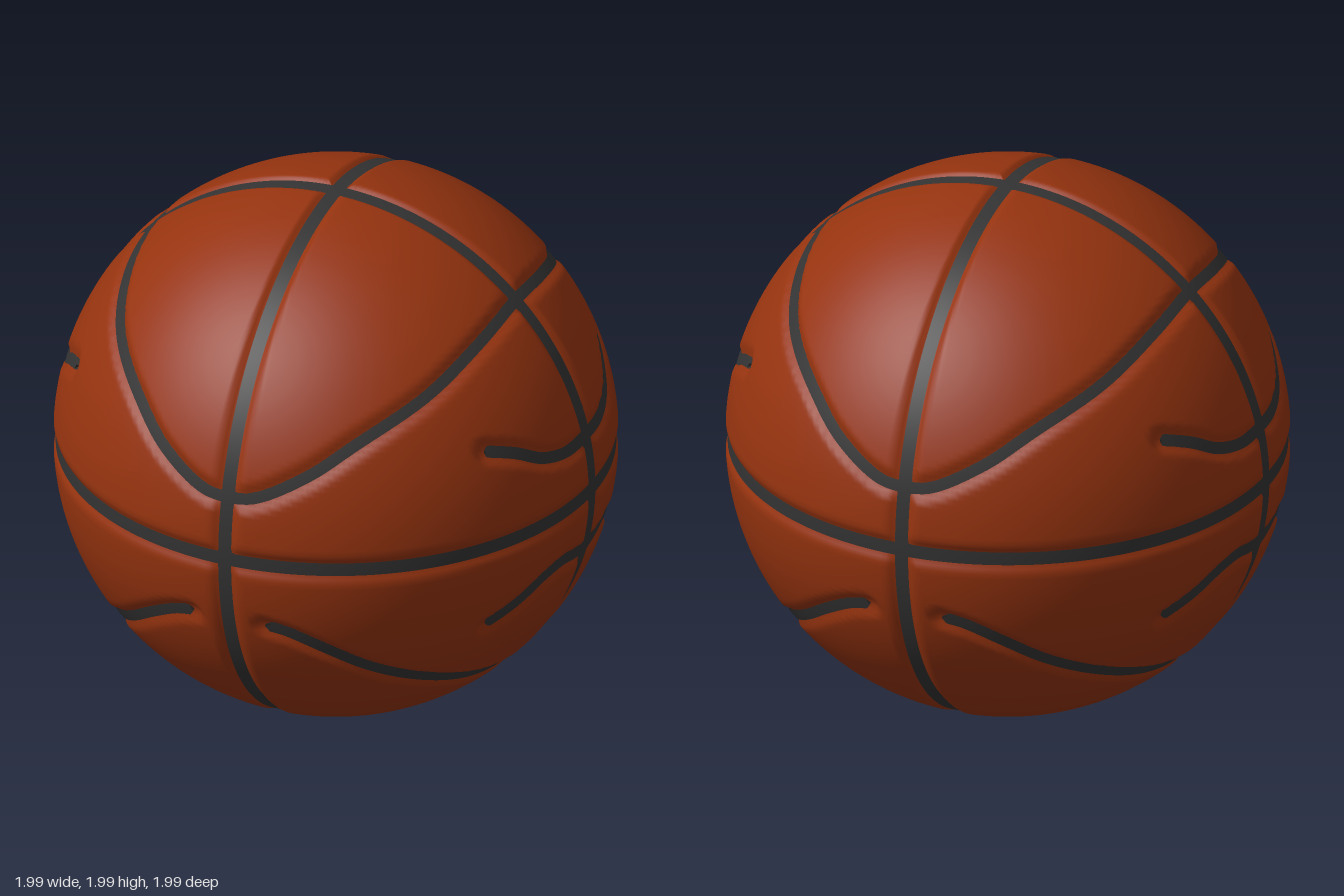
import * as THREE from 'three';

const GROOVE = 0.02;      // depth of the channels pressed into the ball
const SEAM_R = 0.992;     // radius of the rubber lying in the channels

// Third coordinate of a point on the unit sphere
const rest = (a, b) => Math.sqrt(Math.max(0, 1 - a * a - b * b));

// Curved panel seams, given as [x, y] on the front left quarter
const panel = (pts) => pts.map(([x, y]) => new THREE.Vector3(x, y, rest(x, y)));
// Short side seams, given as [z, y] on the front left quarter
const side = (pts) => pts.map(([z, y]) => new THREE.Vector3(rest(z, y), y, z));

const UPPER = panel([[0, 0.235], [0.1, 0.25], [0.28, 0.345], [0.42, 0.45], [0.6, 0.575], [0.685, 0.67], [0.705, 0.7092]]);
const LOWER = panel([[0.14, -0.265], [0.22, -0.287], [0.34, -0.36], [0.45, -0.45], [0.6, -0.575], [0.685, -0.67], [0.705, -0.7092]]);
const SIDE_UP = side([[0.49, 0.357], [0.38, 0.31], [0.27, 0.247], [0.15, 0.217], [0, 0.215]]);
const SIDE_LOW = side([[0.49, -0.35], [0.38, -0.295], [0.27, -0.235], [0.17, -0.217], [0.08, -0.232], [0, -0.245]]);

// Continue a quarter seam to the back and sample it evenly on the sphere
function sampleSeam(quarter) {
  const back = quarter.slice(0, -1).reverse().map((p) => new THREE.Vector3(p.x, p.y, -p.z));
  const mid = quarter[quarter.length - 1].clone().setZ(0);
  const curve = new THREE.CatmullRomCurve3([...quarter.slice(0, -1), mid, ...back], false, 'centripetal');
  return curve.getSpacedPoints(120).map((p) => p.normalize());
}

function greatCircle(a, b) {
  const pts = [];
  for (let i = 0; i <= 200; i++) {
    const t = (i / 200) * Math.PI * 2;
    pts.push(a.clone().multiplyScalar(Math.cos(t)).addScaledVector(b, Math.sin(t)));
  }
  return pts;
}

// Strip that follows points on the sphere, with edges turned down into the channel
function seamGeometry(pts, half, closed, roundEnds) {
  const pos = [], nor = [], idx = [];
  const last = pts.length - 1;
  const profile = [[-1.2, 0.978], [-1, SEAM_R], [0, SEAM_R + 0.0005], [1, SEAM_R], [1.2, 0.978]];
  const n = profile.length;
  pts.forEach((p, i) => {
    const before = i > 0 ? pts[i - 1] : closed ? pts[last - 1] : p;
    const after = i < last ? pts[i + 1] : closed ? pts[1] : p;
    const across = new THREE.Vector3().crossVectors(p, after.clone().sub(before)).normalize();
    const toEnd = Math.min(p.distanceTo(pts[0]), p.distanceTo(pts[last]), half) / half;
    const w = roundEnds ? half * Math.sqrt(1 - (1 - toEnd) ** 2) : half;
    for (const [s, r] of profile) {
      const v = p.clone().addScaledVector(across, s * w).normalize();
      nor.push(v.x, v.y, v.z);
      v.multiplyScalar(r);
      pos.push(v.x, v.y, v.z);
    }
    if (i === last) return;
    for (let j = 0; j < n - 1; j++) {
      const a = i * n + j, b = a + n;
      idx.push(a, b, a + 1, b, b + 1, a + 1);
    }
  });
  const g = new THREE.BufferGeometry();
  g.setAttribute('position', new THREE.Float32BufferAttribute(pos, 3));
  g.setAttribute('normal', new THREE.Float32BufferAttribute(nor, 3));
  g.setIndex(idx);
  return g;
}

// Ball with channels pressed in along every seam
function ballGeometry(seams) {
  const g = new THREE.SphereGeometry(1, 320, 160);
  const p = g.attributes.position;
  const v = new THREE.Vector3(), folded = new THREE.Vector3();
  const samples = seams.flat().filter((s) => s.z > -0.06);
  for (let i = 0; i < p.count; i++) {
    v.fromBufferAttribute(p, i);
    folded.set(Math.abs(v.x), v.y, Math.abs(v.z));
    let d = Math.min(folded.x, Math.abs(v.y), folded.z);
    let d2 = d * d;
    for (const s of samples) d2 = Math.min(d2, folded.distanceToSquared(s));
    d = Math.sqrt(d2);
    v.multiplyScalar(1 - GROOVE * (1 - THREE.MathUtils.smoothstep(d, 0.018, 0.052)));
    p.setXYZ(i, v.x, v.y, v.z);
  }
  g.computeVertexNormals();
  return g;
}

export function createModel() {
  const leather = new THREE.MeshStandardMaterial({ color: 0x95330f });
  leather.name = 'orange leather';
  const rubber = new THREE.MeshStandardMaterial({ color: 0x333333 });
  rubber.name = 'dark rubber';

  const model = new THREE.Group();
  model.name = 'basketball';
  const ball = new THREE.Group();
  ball.name = 'ball';
  ball.position.y = 1;
  model.add(ball);

  const add = (name, geometry, material) => {
    const mesh = new THREE.Mesh(geometry, material);
    mesh.name = name;
    ball.add(mesh);
  };

  // Leather body
  const seams = [UPPER, LOWER, SIDE_UP, SIDE_LOW].map(sampleSeam);
  add('leatherBody', ballGeometry(seams), leather);

  // Three full rings
  const X = new THREE.Vector3(1, 0, 0), Y = new THREE.Vector3(0, 1, 0), Z = new THREE.Vector3(0, 0, 1);
  add('equatorSeam', seamGeometry(greatCircle(X, Z), 0.022, true, false), rubber);
  add('lengthwiseSeam', seamGeometry(greatCircle(Y, Z), 0.022, true, false), rubber);
  add('crosswiseSeam', seamGeometry(greatCircle(X, Y), 0.022, true, false), rubber);

  // Curved seams, mirrored left and right
  const names = ['upperPanelSeam', 'lowerPanelSeam', 'upperSideSeam', 'lowerSideSeam'];
  seams.forEach((pts, k) => {
    for (const s of [1, -1]) {
      const path = pts.map((p) => new THREE.Vector3(p.x * s, p.y, p.z));
      add(names[k] + (s > 0 ? 'Left' : 'Right'), seamGeometry(path, 0.019, false, k > 0), rubber);
    }
  });
  return model;
}
